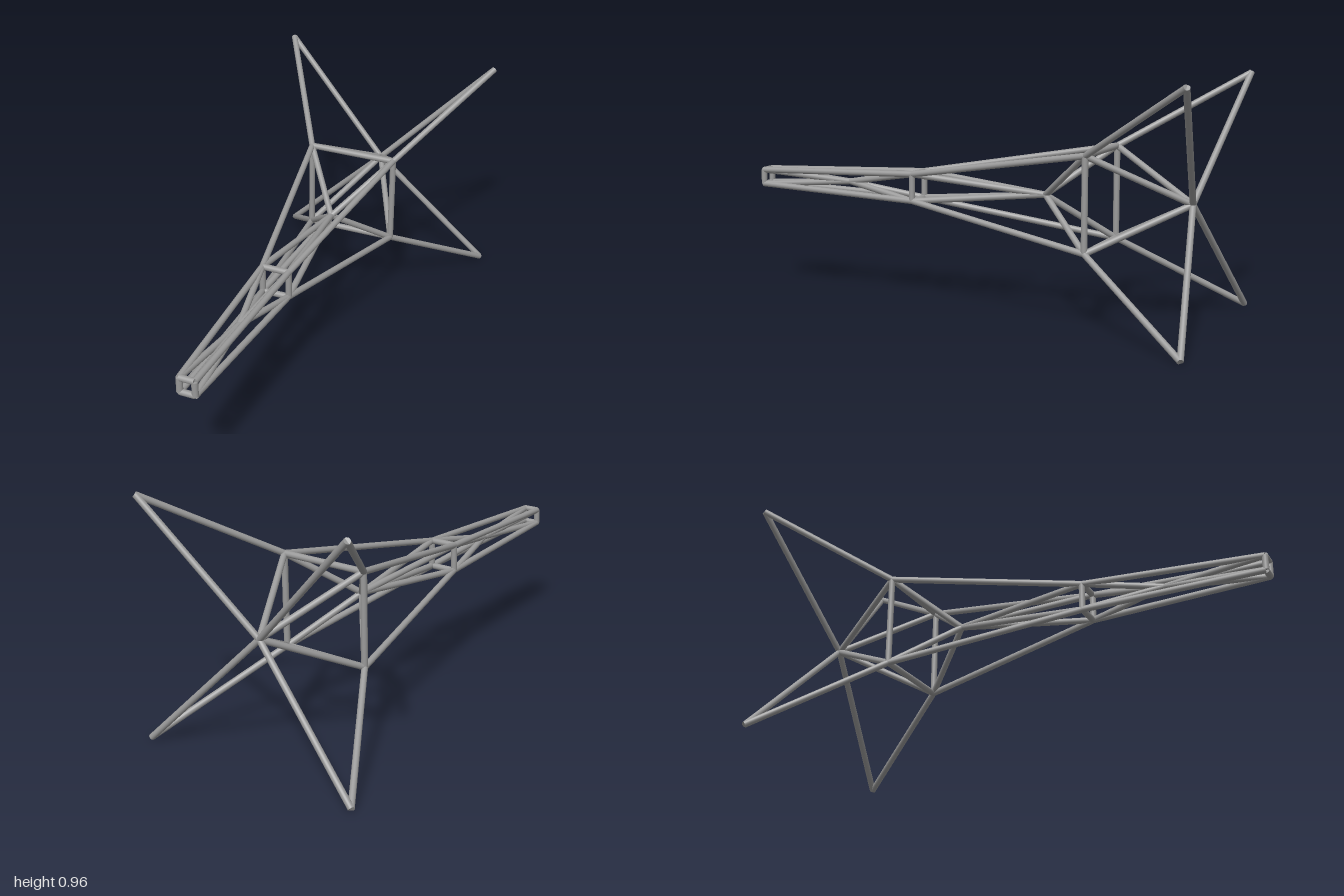
import * as THREE from 'three';

const CY = 0.4775; // height of the long axis
const R = 0.0125; // strut radius

export function createModel() {
  const model = new THREE.Group();
  model.name = 'strutFrame';
  const metal = new THREE.MeshStandardMaterial({ color: 0x999999 });
  metal.name = 'grey metal';

  // Four corners of a square frame, in order round the axis
  const corners = (half, z) => [[1, 1], [-1, 1], [-1, -1], [1, -1]]
    .map(([x, y]) => new THREE.Vector3(x * half, CY + y * half, z));
  const node = (z) => new THREE.Vector3(0, CY, z);

  // Smooth round bar between two points
  function strut(group, a, b) {
    const mesh = new THREE.Mesh(new THREE.CylinderGeometry(R, R, a.distanceTo(b), 20), metal);
    mesh.position.copy(a).add(b).multiplyScalar(0.5);
    mesh.quaternion.setFromUnitVectors(new THREE.Vector3(0, 1, 0), b.clone().sub(a).normalize());
    mesh.name = group.name + 'Strut';
    group.add(mesh);
  }
  function section(name) {
    const group = new THREE.Group();
    group.name = name;
    model.add(group);
    return group;
  }
  // Closed square of struts
  function ring(name, pts) {
    const g = section(name);
    pts.forEach((p, i) => strut(g, p, pts[(i + 1) % 4]));
  }
  // Four struts joining matching corners
  function link(name, from, to) {
    const g = section(name);
    from.forEach((p, i) => strut(g, p, to[i]));
  }
  // Four struts meeting at one node
  function fan(name, pts, apex) {
    const g = section(name);
    pts.forEach((p) => strut(g, p, apex));
  }

  const nose = corners(0.03, 0.9875);
  const waist = corners(0.055, 0.26);
  const body = corners(0.185, -0.53);
  const tips = corners(0.4695, -0.988);
  const noseNode = node(0.58);
  const bodyNode = node(-0.3);
  const tailNode = node(-0.892);

  // Square frames
  ring('noseFrame', nose);
  ring('waistFrame', waist);
  ring('bodyFrame', body);

  // Long outer rails and fin edges
  link('noseRails', nose, waist);
  link('bodyRails', waist, body);
  link('finLeadingEdges', body, tips);

  // Inner bracing to the axis nodes
  fan('noseBraces', nose, noseNode);
  fan('waistFrontBraces', waist, noseNode);
  fan('waistRearBraces', waist, bodyNode);
  fan('bodyFrontBraces', body, bodyNode);
  fan('bodyRearBraces', body, tailNode);
  fan('finTrailingEdges', tips, tailNode);

  return model;
}
